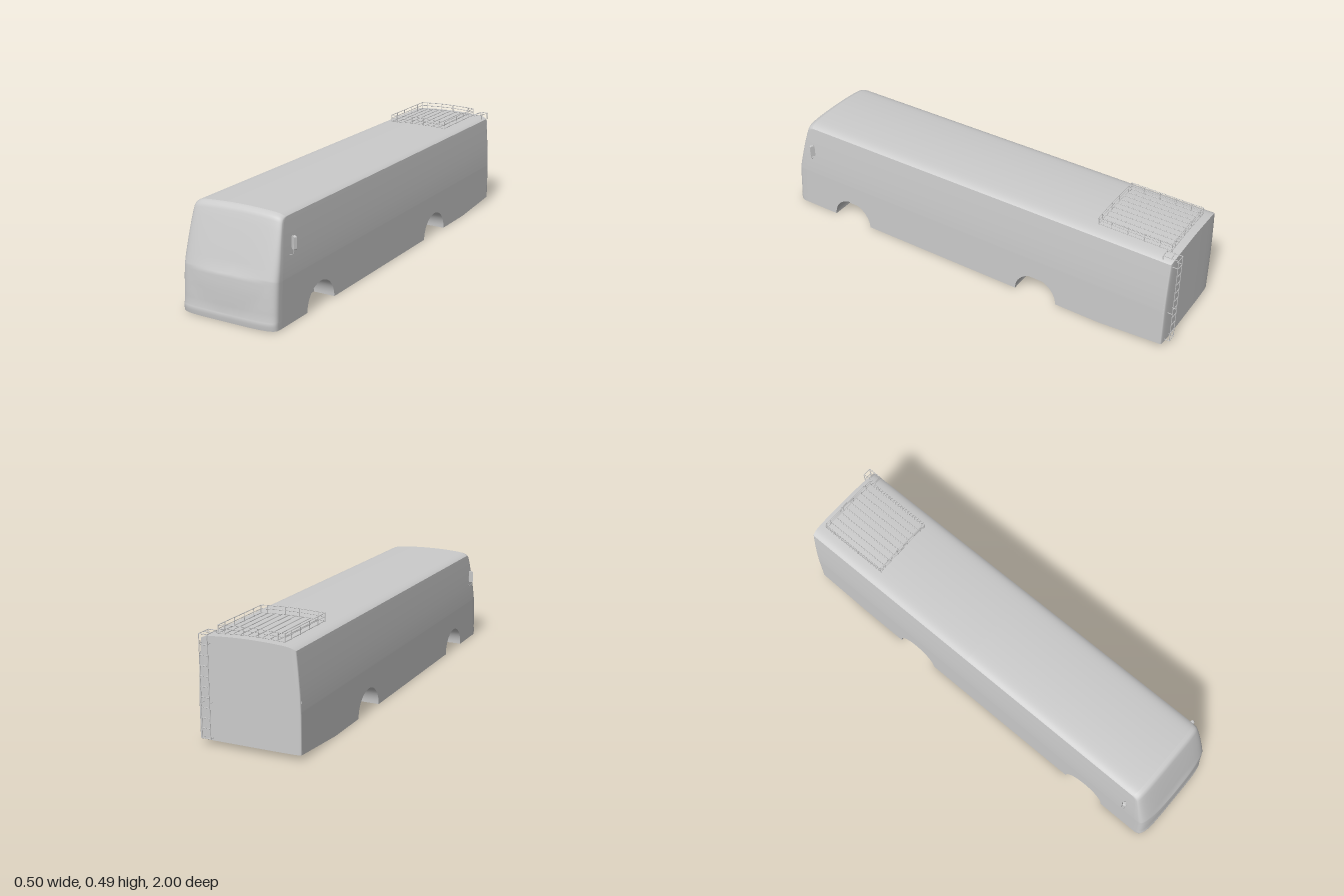
import * as THREE from 'three';

const mat = new THREE.MeshStandardMaterial({ color: 0xcccccc, side: THREE.DoubleSide });
const REAR = -0.978, REAR_INSET = 0.012, ROOF = 0.455, WAIST = 0.2;
const ARCHES = [0.657, -0.36], ARCH_R = 0.103, ARCH_DEPTH = 0.1;

// Heights of the front profile rows, with the depth of the nose at each
const FRONT = [
  [0, 0.997], [0.018, 1], [0.034, 1], [0.037, 0.996], [0.07, 0.995], [0.1, 0.993], [0.13, 0.991],
  [0.16, 0.989], [0.185, 0.986], [WAIST, 0.985], [0.206, 0.983], [0.25, 0.971], [0.3, 0.956],
  [0.35, 0.941], [0.4, 0.925], [0.43, 0.915], [0.443, 0.909], [0.451, 0.9], [ROOF, 0.885],
];

// Half width: upright below the waist, leaning in above it
const halfWidth = (y) => 0.225 - 0.018 * Math.pow(Math.max(0, (y - WAIST) / 0.24), 1.4);
// Cambered roof with rounded-off edges, a = 0 at the middle and 1 at the side
const roofAt = (a) => ROOF - 0.011 * a * a - 0.011 * Math.pow(Math.abs(a), 14);
const cornerInset = (key) => 0.058 - 0.036 * THREE.MathUtils.smoothstep(key, 0.15, ROOF);

// Rounded plan: a = sideways fraction, c = corner setback fraction
const plan = (u) => {
  const t = u * Math.PI / 2, p = 2 / 4.5;
  return {
    a: Math.sign(t) * Math.pow(Math.abs(Math.sin(t)), p),
    c: 1 - Math.pow(Math.max(0, Math.cos(t)), p),
  };
};
const COLS = Array.from({ length: 49 }, (_, i) => {
  const u = i / 24 - 1;
  return Math.sign(u) * Math.pow(Math.abs(u), 1.6);
});

function add(parent, name, geometry) {
  const mesh = new THREE.Mesh(geometry, mat);
  mesh.name = name;
  parent.add(mesh);
  return mesh;
}

// Smooth sheet through fn(column, row)
function sheet(cols, rows, fn) {
  const pos = [], idx = [], n = cols.length;
  rows.forEach((r, j) => cols.forEach((c, i) => {
    pos.push(...fn(c, r));
    if (i && j) {
      const d = j * n + i, b = d - n;
      idx.push(b - 1, b, d, b - 1, d, d - 1);
    }
  }));
  const g = new THREE.BufferGeometry();
  g.setAttribute('position', new THREE.Float32BufferAttribute(pos, 3));
  g.setIndex(idx);
  g.computeVertexNormals();
  return g;
}

// Flat shape moved to (x, y, z) by a rule on its 2D points
function panel(points, rule, flip) {
  const g = new THREE.ShapeGeometry(new THREE.Shape(points));
  const p = g.attributes.position;
  for (let i = 0; i < p.count; i++) p.setXYZ(i, ...rule(p.getX(i), p.getY(i)));
  if (flip) g.index.array.reverse();
  g.computeVertexNormals();
  return g;
}

// Thin round bar between two points
function bar(parent, name, a, b, r = 0.0018) {
  const A = new THREE.Vector3(...a), d = new THREE.Vector3(...b).sub(A);
  const m = add(parent, name, new THREE.CylinderGeometry(r, r, d.length(), 6));
  m.position.copy(A).addScaledVector(d, 0.5);
  m.quaternion.setFromUnitVectors(new THREE.Vector3(0, 1, 0), d.normalize());
}

function buildBody(root) {
  const V2 = (x, y) => new THREE.Vector2(x, y);
  const edgeY = (key) => key * roofAt(1) / ROOF;
  const edgeZ = ([key, z]) => z - cornerInset(key);
  const rearZ = REAR + REAR_INSET;

  add(root, 'frontFace', sheet(COLS, FRONT, (u, [key, z]) => {
    const { a, c } = plan(u);
    const y = key / ROOF * roofAt(a), x = a * halfWidth(y);
    // Shallow bowl-shaped bulge under the windscreen
    const bulge = key > WAIST ? 0 : Math.max(0, 1 - (x / 0.18) ** 2 - ((key - WAIST) / 0.15) ** 2);
    return [x, y, z - c * cornerInset(key) + 0.006 * bulge];
  }));
  const top = FRONT[FRONT.length - 1];
  add(root, 'roof', sheet(COLS, [0, 0.02, 0.5, 1], (u, v) => {
    const { a, c } = plan(u), y = roofAt(a);
    const z0 = top[1] - c * cornerInset(top[0]), z1 = REAR + c * REAR_INSET;
    return [a * halfWidth(y), y, z0 + (z1 - z0) * v];
  }));
  add(root, 'rearFace', sheet(COLS, [1, 0.8, 0.6, 0.4, 0.2, 0], (u, v) => {
    const { a, c } = plan(u), y = 0.022 + (roofAt(a) - 0.022) * v;
    return [a * halfWidth(y), y, REAR + c * REAR_INSET];
  }));

  // Sides: flat lower panel with arch openings, gently curved upper panel
  const low = FRONT.filter((r) => r[0] <= WAIST), high = FRONT.filter((r) => r[0] >= WAIST);
  const outline = low.map((r) => V2(edgeZ(r), edgeY(r[0]))).reverse();
  for (const zc of ARCHES)
    for (let i = 0; i <= 24; i++) {
      const t = i / 24 * Math.PI;
      outline.push(V2(zc + ARCH_R * Math.cos(t), ARCH_R * Math.sin(t)));
    }
  outline.push(V2(-0.68, 0), V2(rearZ, 0.022), V2(rearZ, edgeY(WAIST)));
  for (const s of [1, -1]) {
    const side = s > 0 ? 'left' : 'right';
    add(root, side + 'LowerSide', panel(outline, (z, y) => [s * 0.225, y, z], s > 0));
    add(root, side + 'UpperSide', sheet(s > 0 ? [0, 1] : [1, 0], high, (u, r) => {
      const y = edgeY(r[0]), z = edgeZ(r);
      return [s * halfWidth(y), y, z + (rearZ - z) * u];
    }));
    // Wheel wells
    ARCHES.forEach((zc, k) => {
      const name = side + (k ? 'Rear' : 'Front') + 'WheelWell';
      const arc = Array.from({ length: 25 }, (_, i) => i / 24 * Math.PI);
      add(root, name, sheet(arc, s > 0 ? [0, 1] : [1, 0], (t, v) =>
        [s * (0.225 - ARCH_DEPTH * v), ARCH_R * Math.sin(t), zc + ARCH_R * Math.cos(t)]));
      const wall = add(root, name + 'Wall', new THREE.CircleGeometry(ARCH_R, 24, 0, Math.PI));
      wall.rotation.y = s * Math.PI / 2;
      wall.position.set(s * (0.225 - ARCH_DEPTH), 0, zc);
    });
  }

  // Underside, notched at the wheels and rising at the tail
  const half = [];
  for (const zc of ARCHES)
    half.push(V2(0.225, zc + ARCH_R), V2(0.225 - ARCH_DEPTH, zc + ARCH_R),
      V2(0.225 - ARCH_DEPTH, zc - ARCH_R), V2(0.225, zc - ARCH_R));
  half.push(V2(0.225, -0.68));
  const nose = COLS.map((u) => {
    const { a, c } = plan(u);
    return V2(a * 0.225, FRONT[0][1] - c * cornerInset(0));
  });
  const mirrored = half.map((p) => V2(-p.x, p.y)).reverse();
  add(root, 'underside', panel([...nose, ...half, ...mirrored], (x, z) => [x, 0, z]));
  add(root, 'tailUnderside', sheet([-0.225, 0.225], [0, 1], (x, v) =>
    [x, 0.022 * v, -0.68 + (rearZ + 0.68) * v]));
}

// Luggage rack with slats, posts and cambered rails
function buildRack(root) {
  const rack = new THREE.Group();
  rack.name = 'roofRack';
  root.add(rack);
  const X = 0.146, Z0 = -0.61, Z1 = -0.943;
  const yAt = (x) => roofAt(x / 0.207);
  for (let i = 0; i < 10; i++) {
    const x = -X + 2 * X * i / 9;
    bar(rack, 'slat', [x, yAt(x) + 0.004, Z0], [x, yAt(x) + 0.004, Z1], 0.0022);
  }
  const xs = [-X, -0.116, -0.032, 0.032, 0.116, X];
  for (const h of [0.004, 0.021, 0.036]) {
    for (const z of [Z0, Z1])
      for (let i = 0; i < 5; i++)
        bar(rack, 'crossRail', [xs[i], yAt(xs[i]) + h, z], [xs[i + 1], yAt(xs[i + 1]) + h, z]);
    for (const x of [-X, X]) bar(rack, 'sideRail', [x, yAt(x) + h, Z0], [x, yAt(x) + h, Z1]);
  }
  for (const z of [Z0, Z1])
    for (const x of xs) bar(rack, 'post', [x, yAt(x) - 0.002, z], [x, yAt(x) + 0.037, z]);
  for (const z of [-0.67, -0.745, -0.82, -0.89])
    for (const x of [-X, X]) bar(rack, 'post', [x, yAt(x) - 0.002, z], [x, yAt(x) + 0.037, z]);
}

// Rear ladder hooked over the roof edge
function buildLadder(root) {
  const ladder = new THREE.Group();
  ladder.name = 'rearLadder';
  root.add(ladder);
  const zl = -0.998, xs = [0.161, 0.199];
  for (const x of xs) {
    bar(ladder, 'ladderRail', [x, 0.032, zl], [x, 0.459, zl]);
    bar(ladder, 'ladderHook', [x, 0.459, zl], [x, 0.459, -0.93]);
    bar(ladder, 'ladderHook', [x, 0.459, -0.93], [x, 0.44, -0.93]);
    for (const y of [0.034, 0.18, 0.42]) bar(ladder, 'ladderBracket', [x, y, zl], [x, y, -0.97]);
  }
  for (let i = 0; i < 11; i++) {
    const y = 0.034 + i * 0.0425;
    bar(ladder, 'rung', [xs[0], y, zl], [xs[1], y, zl]);
  }
  for (const z of [-0.965, -0.93]) bar(ladder, 'topRung', [xs[0], 0.459, z], [xs[1], 0.459, z]);
}

// Door mirrors on bent arms
function buildMirrors(root) {
  const r = 0.005, w = 0.01, h = 0.027;
  const s = new THREE.Shape();
  s.absarc(w - r, h - r, r, 0, Math.PI / 2);
  s.absarc(r - w, h - r, r, Math.PI / 2, Math.PI);
  s.absarc(r - w, r - h, r, Math.PI, Math.PI * 1.5);
  s.absarc(w - r, r - h, r, Math.PI * 1.5, Math.PI * 2);
  const head = new THREE.ExtrudeGeometry(s, { depth: 0.012, bevelEnabled: false, curveSegments: 5 });
  head.translate(0, 0, -0.006);
  for (const k of [1, -1]) {
    const mirror = add(root, k > 0 ? 'leftMirror' : 'rightMirror', head);
    mirror.position.set(k * 0.236, 0.33, 0.863);
    mirror.rotation.y = -k * 0.5;
    const path = [[0.218, 0.283], [0.232, 0.283], [0.239, 0.29], [0.24, 0.305], [0.24, 0.325]];
    const curve = new THREE.CatmullRomCurve3(path.map(([x, y]) => new THREE.Vector3(k * x, y, 0.872)));
    add(root, k > 0 ? 'leftMirrorArm' : 'rightMirrorArm', new THREE.TubeGeometry(curve, 20, 0.0014, 6));
  }
}

export function createModel() {
  const root = new THREE.Group();
  root.name = 'bus';
  buildBody(root);
  buildRack(root);
  buildLadder(root);
  buildMirrors(root);
  return root;
}
